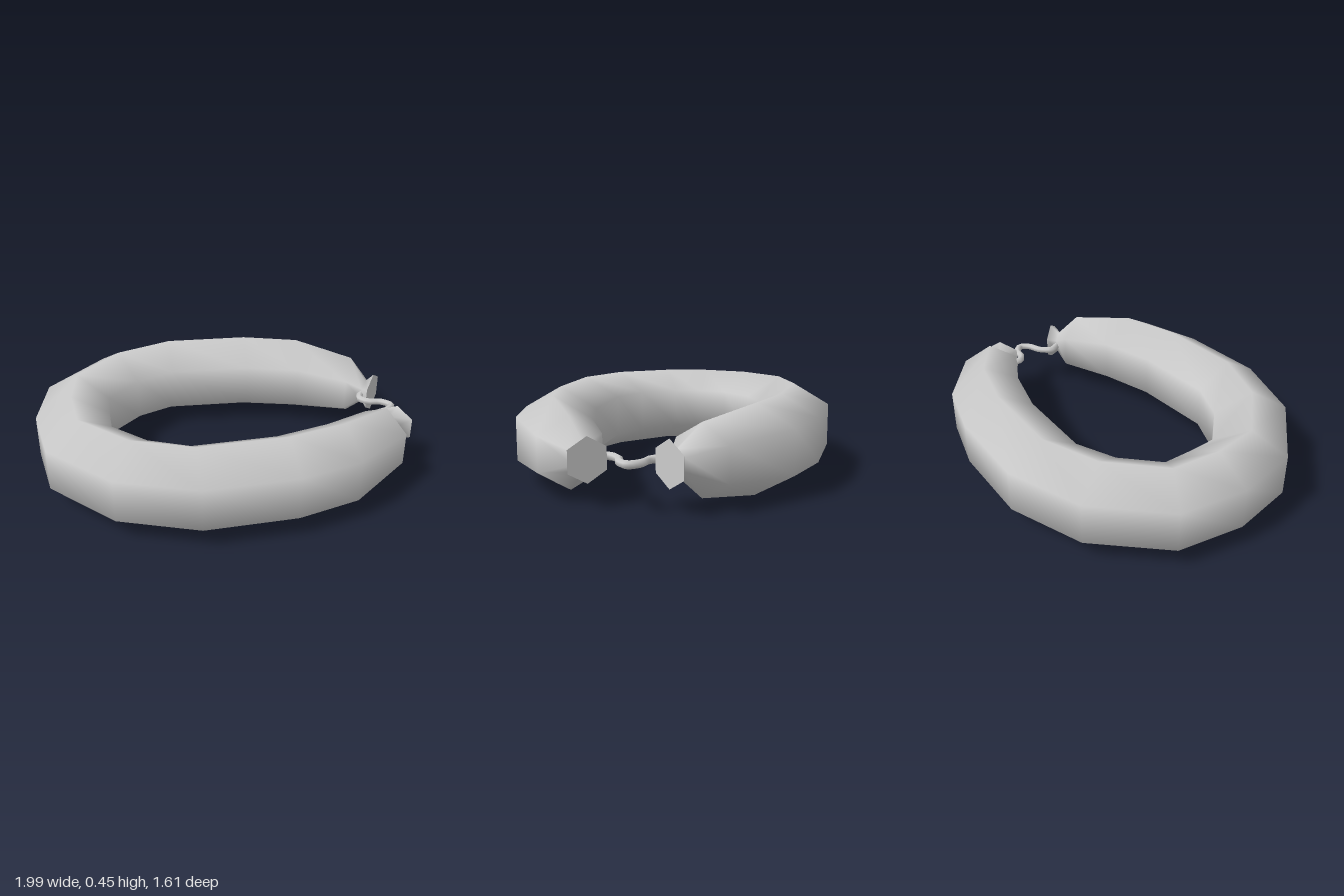
import * as THREE from 'three';

const MID = 0.23; // height of the centre line
const SIDES = 6;

// One half of the ring, from the flared tip to the far bend: [outer x, outer z, inner x, inner z]
const HALF = [
  [0.98, -0.27, 0.86, -0.115],
  [0.92, -0.26, 0.85, -0.18],
  [0.88, -0.45, 0.75, -0.18],
  [0.56, -0.70, 0.50, -0.32],
  [0.24, -0.79, 0.21, -0.40],
  [-0.23, -0.81, -0.23, -0.42],
  [-0.63, -0.67, -0.44, -0.33],
  [-0.94, -0.35, -0.61, -0.16],
];

// Hexagon standing on a corner, spanning the outer and inner points
function hexagon([ox, oz, ix, iz]) {
  const cx = (ox + ix) / 2, cz = (oz + iz) / 2;
  const r = Math.hypot(ox - ix, oz - iz) / Math.sqrt(3);
  const dx = (ox - ix) / 2, dz = (oz - iz) / 2;
  return Array.from({ length: SIDES }, (_, k) => {
    const a = Math.PI / 6 + (k * Math.PI) / 3;
    const c = Math.cos(a) / Math.cos(Math.PI / 6);
    return [cx + dx * c, MID + r * Math.sin(a), cz + dz * c];
  });
}

function makeGeometry(points, index) {
  const g = new THREE.BufferGeometry();
  g.setAttribute('position', new THREE.Float32BufferAttribute(points.flat(), 3));
  g.setIndex(index);
  g.computeVertexNormals();
  return g;
}

function skinGeometry(rings) {
  const index = [];
  for (let i = 0; i < rings.length - 1; i++) {
    for (let k = 0; k < SIDES; k++) {
      const a = i * SIDES + k, b = i * SIDES + ((k + 1) % SIDES);
      const c = a + SIDES, d = b + SIDES;
      index.push(a, c, b, b, c, d);
    }
  }
  return makeGeometry(rings.flat(), index);
}

// Flat hexagonal end face
function capGeometry(ring) {
  const index = [];
  for (let k = 1; k < SIDES - 1; k++) index.push(0, k, k + 1);
  return makeGeometry(ring, index);
}

export function createModel() {
  const group = new THREE.Group();
  const material = new THREE.MeshStandardMaterial({ color: 0xcccccc });
  const add = (name, geometry) => {
    const mesh = new THREE.Mesh(geometry, material);
    mesh.name = name;
    group.add(mesh);
  };

  // Curved casing with pinched necks and flared tips
  const mirrored = HALF.map(([ox, oz, ix, iz]) => [ox, -oz - 0.01, ix, -iz - 0.01]).reverse();
  mirrored[mirrored.length - 1] = [0.99, 0.25, 0.865, 0.11];
  const rings = [...HALF, [-1, 0, -0.615, 0], ...mirrored].map(hexagon);
  add('sausageSkin', skinGeometry(rings));
  add('rightTipFace', capGeometry(rings[0]));
  add('leftTipFace', capGeometry([...rings[rings.length - 1]].reverse()));

  // Wavy string tying the two necks together
  const path = [
    [0.88, -0.205], [0.845, -0.175], [0.825, -0.125], [0.86, -0.085], [0.93, -0.07], [0.975, -0.02],
    [0.94, 0.025], [0.87, 0.055], [0.825, 0.11], [0.845, 0.16], [0.88, 0.20],
  ].map(([x, z]) => new THREE.Vector3(x, MID, z));
  add('string', new THREE.TubeGeometry(new THREE.CatmullRomCurve3(path), 30, 0.02, 6));

  return group;
}
